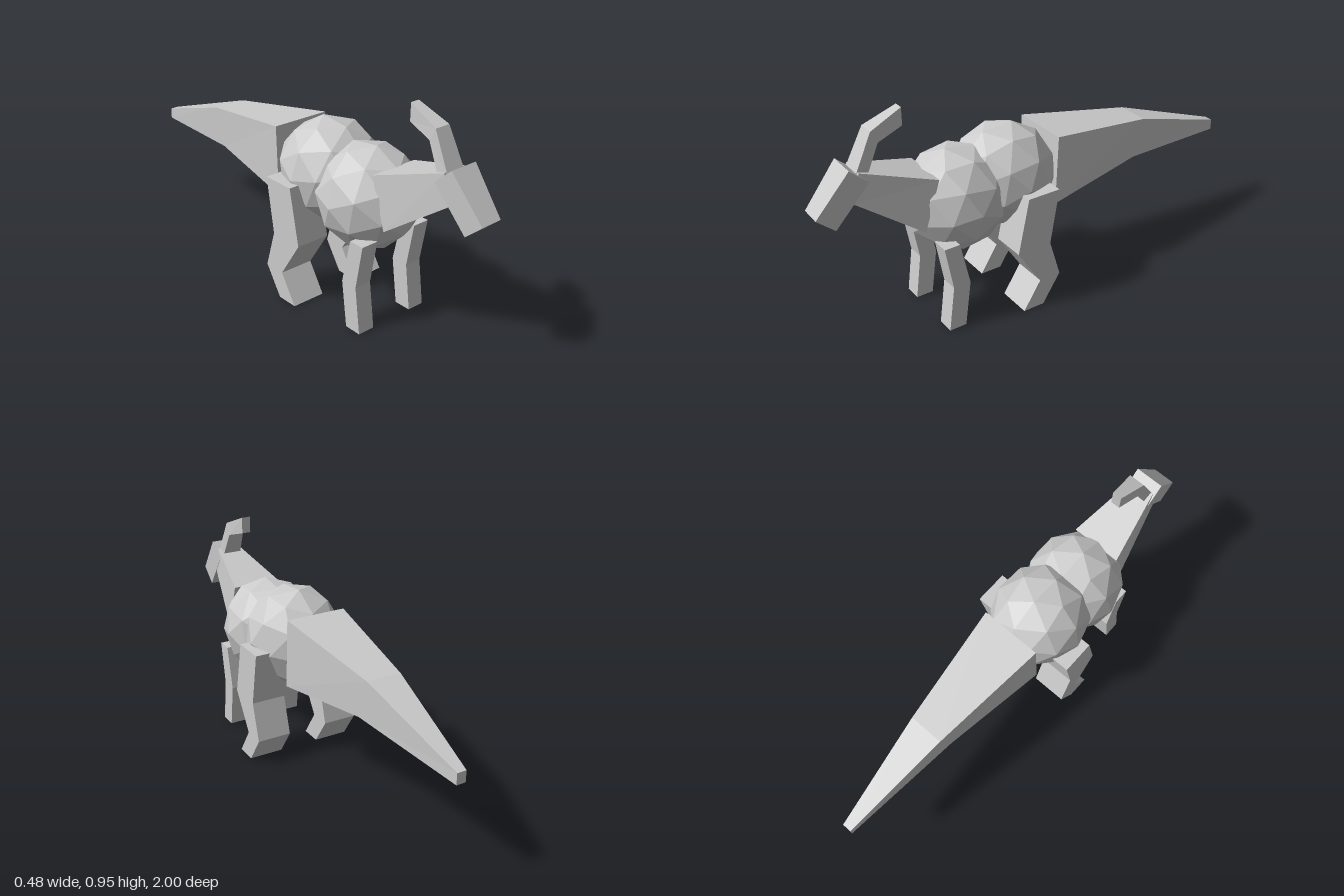
import * as THREE from 'three';

const material = new THREE.MeshStandardMaterial({ color: 0xcccccc, flatShading: true });

// Closed four-sided loft. Each section is [zA, yA, zB, yB, halfWidth]:
// edge A and edge B of the side profile, and the width across x.
function loft(name, sections, cx = 0) {
  const rings = sections.map(([zA, yA, zB, yB, w]) => [
    [cx + w, yA, zA], [cx - w, yA, zA], [cx - w, yB, zB], [cx + w, yB, zB],
  ]);
  const pos = [];
  const quad = (a, b, c, d) => pos.push(...a, ...b, ...c, ...a, ...c, ...d);
  for (let i = 0; i < rings.length - 1; i++) {
    const p = rings[i], q = rings[i + 1];
    for (let k = 0; k < 4; k++) {
      const n = (k + 1) % 4;
      quad(p[k], q[k], q[n], p[n]);
    }
  }
  const first = rings[0], last = rings[rings.length - 1];
  quad(first[0], first[1], first[2], first[3]);
  quad(last[3], last[2], last[1], last[0]);
  const geo = new THREE.BufferGeometry();
  geo.setAttribute('position', new THREE.Float32BufferAttribute(pos, 3));
  geo.computeVertexNormals();
  const mesh = new THREE.Mesh(geo, material);
  mesh.name = name;
  return mesh;
}

// Faceted ball with a vertex pole on each flank, rolled about x
function ball(name, y, z, rollDegrees) {
  const geo = new THREE.IcosahedronGeometry(1, 1);
  geo.rotateY(Math.atan(2 / (1 + Math.sqrt(5))));
  geo.rotateX(THREE.MathUtils.degToRad(-rollDegrees));
  geo.scale(0.21, 0.222, 0.222);
  geo.translate(0, y, z);
  geo.computeVertexNormals();
  const mesh = new THREE.Mesh(geo, material);
  mesh.name = name;
  return mesh;
}

export function createModel() {
  const model = new THREE.Group();
  model.name = 'crestedDinosaur';

  // Body
  model.add(ball('chest', 0.497, 0.397, 26));
  model.add(ball('hips', 0.535, 0.172, 12));

  // Tail, from the hips to the tip
  model.add(loft('tail', [
    [-0.015, 0.69, 0, 0.387, 0.133],
    [-0.52, 0.613, -0.47, 0.442, 0.075],
    [-1, 0.458, -1, 0.41, 0.02],
  ]));

  // Neck, from the chest up to the head
  model.add(loft('neck', [
    [0.595, 0.447, 0.525, 0.655, 0.11],
    [0.85, 0.63, 0.82, 0.75, 0.053],
  ]));

  // Head, from the crown down to the snout
  model.add(loft('head', [
    [0.785, 0.708, 0.86, 0.775, 0.0625],
    [0.927, 0.542, 1, 0.607, 0.048],
  ]));

  // Swept-back crest
  model.add(loft('crest', [
    [0.825, 0.745, 0.782, 0.725, 0.043],
    [0.753, 0.89, 0.727, 0.839, 0.035],
    [0.617, 0.946, 0.617, 0.873, 0.02],
  ]));

  // Legs, mirrored in pairs
  for (const [side, s] of [['left', 1], ['right', -1]]) {
    model.add(loft(side + 'FrontLeg', [
      [0.487, 0.387, 0.555, 0.387, 0.0385],
      [0.447, 0.197, 0.523, 0.197, 0.0385],
      [0.475, 0, 0.55, 0, 0.0385],
    ], s * 0.1385));
    model.add(loft(side + 'HindLeg', [
      [0.06, 0.525, 0.206, 0.525, 0.076],
      [0.103, 0.287, 0.258, 0.287, 0.076],
      [0.055, 0.123, 0.153, 0.123, 0.076],
      [0.137, 0, 0.233, 0, 0.076],
    ], s * 0.166));
  }
  return model;
}
